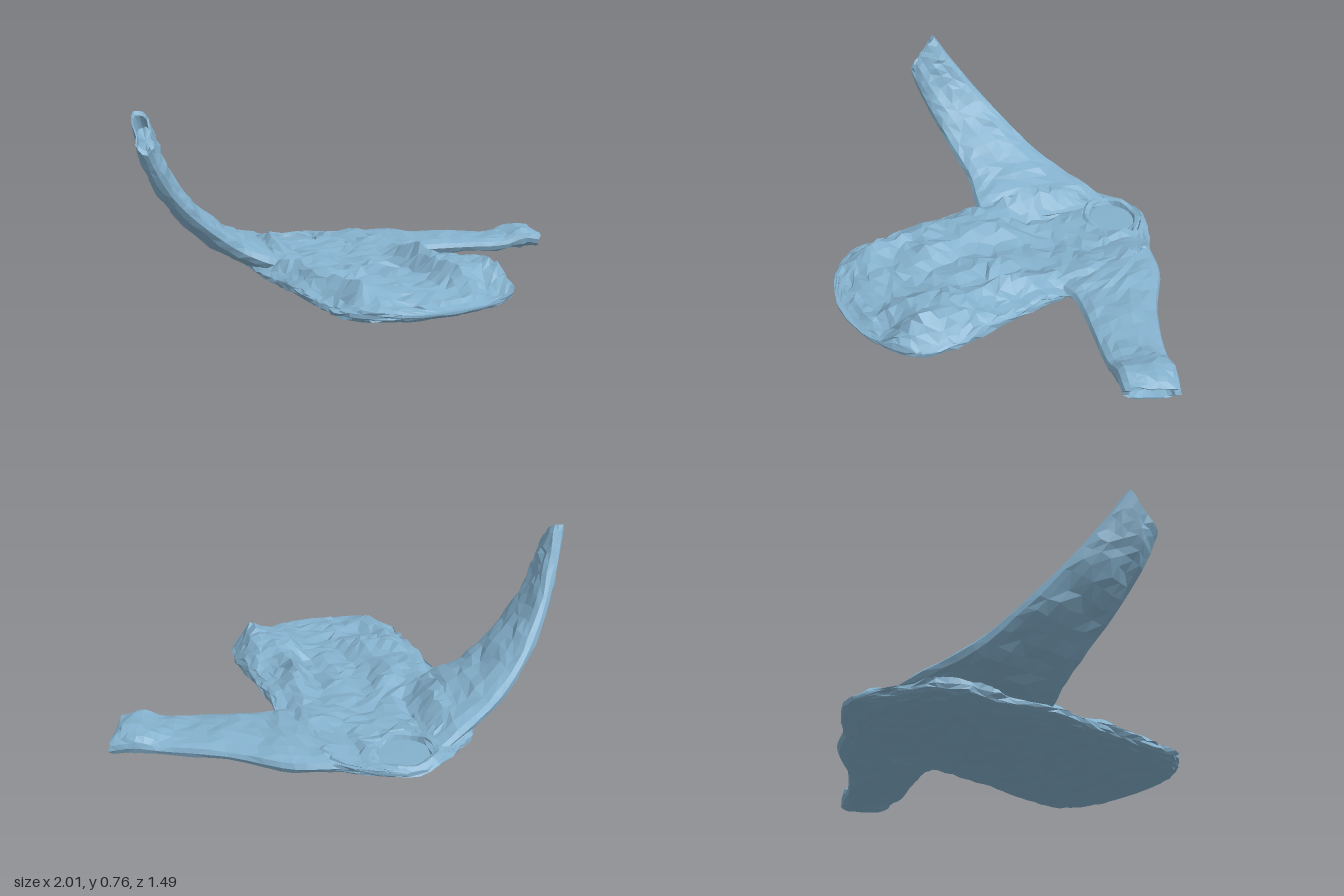
import * as THREE from 'three';

const fabric = new THREE.MeshStandardMaterial({ color: 0x84b0cc, flatShading: true, side: THREE.DoubleSide });
const { smoothstep, lerp } = THREE.MathUtils;

// repeatable scatter in -1..1
const hash = (a, b) => {
  const s = Math.sin(a * 127.1 + b * 311.7) * 43758.5453;
  return (s - Math.floor(s)) * 2 - 1;
};
// flat-topped heap with steep sides
const heap = (x, z, cx, cz, rx, rz) => Math.exp(-(((x - cx) / rx) ** 4) - ((z - cz) / rz) ** 4);

// skins a list of rings (counter-clockwise seen from the far end) and closes both ends
function loft(rings, name) {
  const n = rings[0].length, pos = [], idx = [];
  rings.forEach(r => r.forEach(p => pos.push(p.x, p.y, p.z)));
  for (let i = 0; i < rings.length - 1; i++) {
    for (let j = 0; j < n; j++) {
      const a = i * n + j, b = i * n + (j + 1) % n, c = a + n, d = b + n;
      if (hash(i, j) > 0) idx.push(a, b, d, a, d, c);
      else idx.push(a, b, c, b, d, c);
    }
  }
  [0, rings.length - 1].forEach((row, end) => {
    const centre = new THREE.Vector3();
    rings[row].forEach(p => centre.addScaledVector(p, 1 / n));
    const k = pos.length / 3;
    pos.push(centre.x, centre.y, centre.z);
    for (let j = 0; j < n; j++) {
      const a = row * n + j, b = row * n + (j + 1) % n;
      if (end) idx.push(a, b, k); else idx.push(b, a, k);
    }
  });
  const g = new THREE.BufferGeometry();
  g.setAttribute('position', new THREE.Float32BufferAttribute(pos, 3));
  g.setIndex(idx);
  g.computeVertexNormals();
  const mesh = new THREE.Mesh(g, fabric);
  mesh.name = name;
  return mesh;
}

// torso sections: z, right x, left x, underside y, side edge y, upper y
const torso = [
  [-0.745, -0.11, -0.04, 0.08, 0.09, 0.10],
  [-0.71, -0.19, 0.04, 0.07, 0.09, 0.115],
  [-0.65, -0.27, 0.14, 0.055, 0.09, 0.12],
  [-0.58, -0.38, 0.25, 0.045, 0.09, 0.12],
  [-0.45, -0.45, 0.29, 0.035, 0.09, 0.115],
  [-0.25, -0.46, 0.30, 0.035, 0.08, 0.11],
  [-0.05, -0.49, 0.29, 0.03, 0.08, 0.115],
  [0.20, -0.48, 0.31, 0.018, 0.075, 0.115],
  [0.40, -0.48, 0.34, 0.005, 0.07, 0.11],
  [0.54, -0.475, 0.325, 0.0, 0.06, 0.108],
  [0.61, -0.425, 0.275, 0.008, 0.06, 0.102],
  [0.67, -0.345, 0.19, 0.02, 0.06, 0.092],
  [0.69, -0.31, 0.15, 0.027, 0.06, 0.085],
  [0.70, -0.29, 0.125, 0.03, 0.06, 0.066],
  [0.725, -0.225, 0.055, 0.045, 0.058, 0.062],
  [0.742, -0.15, -0.04, 0.052, 0.058, 0.06],
];
function torsoAt(z) {
  let i = 0;
  while (i < torso.length - 2 && torso[i + 1][0] < z) i++;
  const t = (z - torso[i][0]) / (torso[i + 1][0] - torso[i][0]);
  return torso[i].map((v, k) => v + (torso[i + 1][k] - v) * t);
}

// crumples of the upper cloth: lengthwise folds, heaps and a flat front strip
function folds(x, z) {
  const strip = Math.exp(-(((x + 0.07) / 0.11) ** 4));
  const ridge = 1 - 2 * Math.abs(Math.sin(x * 17 + 0.6 * Math.sin(z * 6 + 1)));
  const slant = 1 - 2 * Math.abs(Math.sin(z * 8 + x * 7 + 1.5 * Math.sin(x * 8 - z * 3)));
  const vary = 0.65 + 0.35 * Math.sin(z * 9 + x * 7);
  return (0.026 * ridge * vary + 0.014 * slant) * (1 - 0.75 * strip) - 0.008 * strip
    + 0.08 * heap(x, z, 0.175, 0.44, 0.13, 0.18)
    + 0.04 * heap(x, z, 0.19, 0.1, 0.11, 0.2)
    + 0.045 * heap(x, z, -0.31, 0.2, 0.11, 0.37)
    + 0.075 * heap(x, z, -0.38, -0.36, 0.14, 0.24)
    + 0.025 * heap(x, z, 0.2, -0.3, 0.11, 0.2);
}

const NECK = { x: -0.085, z: -0.605, r: 0.112 };

function makeTorso() {
  const rows = 42, sides = 48, rings = [];
  for (let i = 0; i <= rows; i++) {
    const v = 2 * i / rows - 1;
    const z0 = 0.742 * (0.6 * v + 0.4 * Math.sin(v * Math.PI / 2));   // rows crowd toward both ends
    const [, xl, xr, low, edge, high] = torsoAt(z0);
    const inner = smoothstep(0.742 - Math.abs(z0), 0.01, 0.08);
    const ring = [];
    for (let j = 0; j < sides; j++) {
      const a = j / sides * Math.PI * 2, c = Math.cos(a), s = Math.sin(a);
      const loose = inner * (s > 0 ? 1 : 0.6);
      const x = (xl + xr) / 2 + c * (xr - xl) / 2 + 0.011 * loose * hash(i, j);
      const z = z0 + 0.012 * loose * hash(j, i + 70);
      let y;
      if (s > 1e-6) {
        const calm = smoothstep(0.71 - z, 0, 0.08) * smoothstep(z, -0.7, -0.54);
        y = edge + Math.sqrt(s) * (high - edge) + s ** 0.33 * calm * (folds(x, z) + 0.009 * hash(i + 31, j));
        if (Math.hypot(x - NECK.x, z - NECK.z) < NECK.r + 0.015) y = 0.075;   // sunken under the neck opening
        y = Math.max(y, low + 0.01);
      } else {
        y = edge - Math.abs(s) ** 0.6 * (edge - low) + 0.008 * inner * Math.abs(hash(i, j + 9));
      }
      ring.push(new THREE.Vector3(x, y, z));
    }
    rings.push(ring);
  }
  return loft(rings, 'torso');
}

// sleeve swept between its back and front edges; each entry: back xyz, front xyz, half thickness
function makeSleeve(sections, name, seed) {
  const V = (s, k) => new THREE.Vector3(s[k], s[k + 1], s[k + 2]);
  const back = new THREE.CatmullRomCurve3(sections.map(s => V(s, 0)));
  const front = new THREE.CatmullRomCurve3(sections.map(s => V(s, 3)));
  const steps = 22, sides = 18, rings = [];
  const ringAt = (t, scale, i) => {
    const A = back.getPoint(t), B = front.getPoint(t);
    const d = back.getTangent(t).add(front.getTangent(t)).normalize();
    const w = B.clone().sub(A).multiplyScalar(0.5 * scale);
    const n = d.clone().cross(w).normalize();
    const f = t * (sections.length - 1), k = Math.min(Math.floor(f), sections.length - 2);
    const thick = lerp(sections[k][6], sections[k + 1][6], f - k) * scale;
    const mid = A.add(B).multiplyScalar(0.5);
    return Array.from({ length: sides }, (_, j) => {
      const a = j / sides * Math.PI * 2, s = Math.sin(a);
      const crease = 1 + 0.16 * hash(i + seed, j) + 0.12 * Math.sin(t * 30 + 3 * Math.cos(a));
      const h = Math.sign(s) * Math.abs(s) ** 0.7 * thick * crease;
      return mid.clone().addScaledVector(w, Math.cos(a)).addScaledVector(n, h)
        .addScaledVector(d, 0.008 * hash(j, i + seed));
    });
  };
  for (let i = 0; i <= steps; i++) rings.push(ringAt(i / steps, 1, i));
  // hollow cuff
  rings.push(ringAt(1, 0.78, steps), ringAt(0.94, 0.7, steps + 1));
  return loft(rings, name);
}

// low neckband around the round opening, with the inner back cloth at its floor
function makeCollar() {
  const r = NECK.r;
  const profile = [[0, 0.092], [r * 0.6, 0.091], [r - 0.006, 0.09], [r, 0.107], [r + 0.02, 0.113], [r + 0.055, 0.085]];
  const g = new THREE.LatheGeometry(profile.map(([x, y]) => new THREE.Vector2(x, y)), 22);
  const p = g.attributes.position;
  for (let i = 0; i < p.count; i++) {
    const x = p.getX(i), z = p.getZ(i);
    if (Math.hypot(x, z) > r - 0.004) p.setY(i, p.getY(i) + 0.006 * Math.sin(Math.atan2(z, x) * 5) - 0.08 * x);
    if (z < 0) p.setZ(i, z * 0.86);
  }
  const collar = new THREE.Mesh(g, fabric);
  collar.name = 'collar';
  collar.position.set(NECK.x, 0, NECK.z);
  return collar;
}

export function createModel() {
  const shirt = new THREE.Group();
  shirt.name = 'shirt';
  shirt.add(makeTorso(), makeCollar());

  shirt.add(makeSleeve([
    [-0.17, 0.09, -0.67, -0.30, 0.085, -0.06, 0.025],
    [-0.34, 0.14, -0.605, -0.45, 0.12, -0.07, 0.048],
    [-0.55, 0.21, -0.50, -0.57, 0.18, -0.10, 0.05],
    [-0.70, 0.325, -0.41, -0.72, 0.29, -0.08, 0.048],
    [-0.83, 0.485, -0.30, -0.85, 0.41, -0.05, 0.043],
    [-0.91, 0.635, -0.205, -0.935, 0.53, -0.02, 0.042],
    [-0.965, 0.765, -0.13, -0.975, 0.61, -0.005, 0.035],
  ], 'raisedRightSleeve', 5));

  shirt.add(makeSleeve([
    [0.04, 0.08, -0.66, 0.15, 0.075, -0.08, 0.025],
    [0.20, 0.09, -0.615, 0.30, 0.085, -0.13, 0.045],
    [0.36, 0.085, -0.555, 0.40, 0.085, -0.12, 0.042],
    [0.57, 0.085, -0.39, 0.55, 0.085, -0.08, 0.04],
    [0.80, 0.085, -0.27, 0.73, 0.085, -0.03, 0.036],
    [0.91, 0.10, -0.235, 0.83, 0.11, -0.01, 0.052],
    [0.995, 0.08, -0.195, 0.90, 0.10, 0.01, 0.034],
  ], 'flatLeftSleeve', 57));

  return shirt;
}
